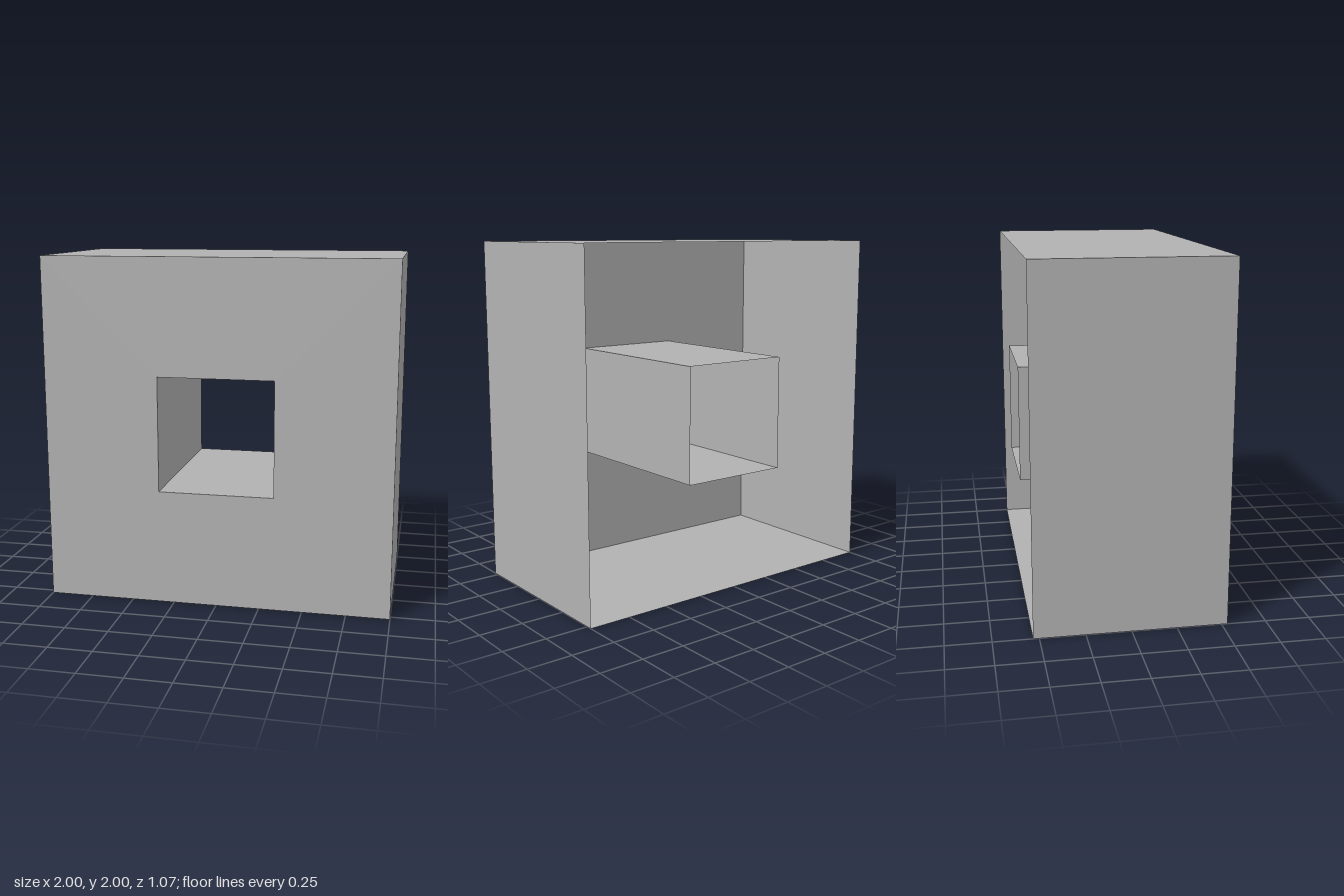
import * as THREE from 'three';

const HALF = 1;        // half width of the outer shell
const HOLE = 0.333;    // half width of the square opening
const DEPTH = 1.067;

const grey = new THREE.MeshStandardMaterial({ color: 0xb2b2b2, side: THREE.DoubleSide });
grey.name = 'plain grey';

// Four thin walls forming a square tube along z, open at both ends
function squareTube(name, half, inward) {
  const tube = new THREE.Group();
  tube.name = name;
  ['Top', 'Left', 'Bottom', 'Right'].forEach((side, i) => {
    const geometry = new THREE.PlaneGeometry(2 * half, DEPTH);
    geometry.rotateX(inward ? Math.PI / 2 : -Math.PI / 2);
    geometry.translate(0, half, 0);
    geometry.rotateZ(-i * Math.PI / 2);
    const wall = new THREE.Mesh(geometry, grey);
    wall.name = name + side;
    tube.add(wall);
  });
  return tube;
}

function squarePoints(half) {
  return [[-half, -half], [half, -half], [half, half], [-half, half]]
    .map(([x, y]) => new THREE.Vector2(x, y));
}

export function createModel() {
  const model = new THREE.Group();
  model.name = 'openBackedBlock';

  // Front panel with a square opening; the back stays open
  const panel = new THREE.Shape(squarePoints(HALF));
  panel.holes.push(new THREE.Path(squarePoints(HOLE).reverse()));
  const front = new THREE.Mesh(new THREE.ShapeGeometry(panel), grey);
  front.name = 'frontPanel';
  front.position.z = DEPTH / 2;

  model.add(front, squareTube('outerWall', HALF, false), squareTube('innerWall', HOLE, true));
  model.children.forEach((part) => { part.position.y = HALF; });
  return model;
}
